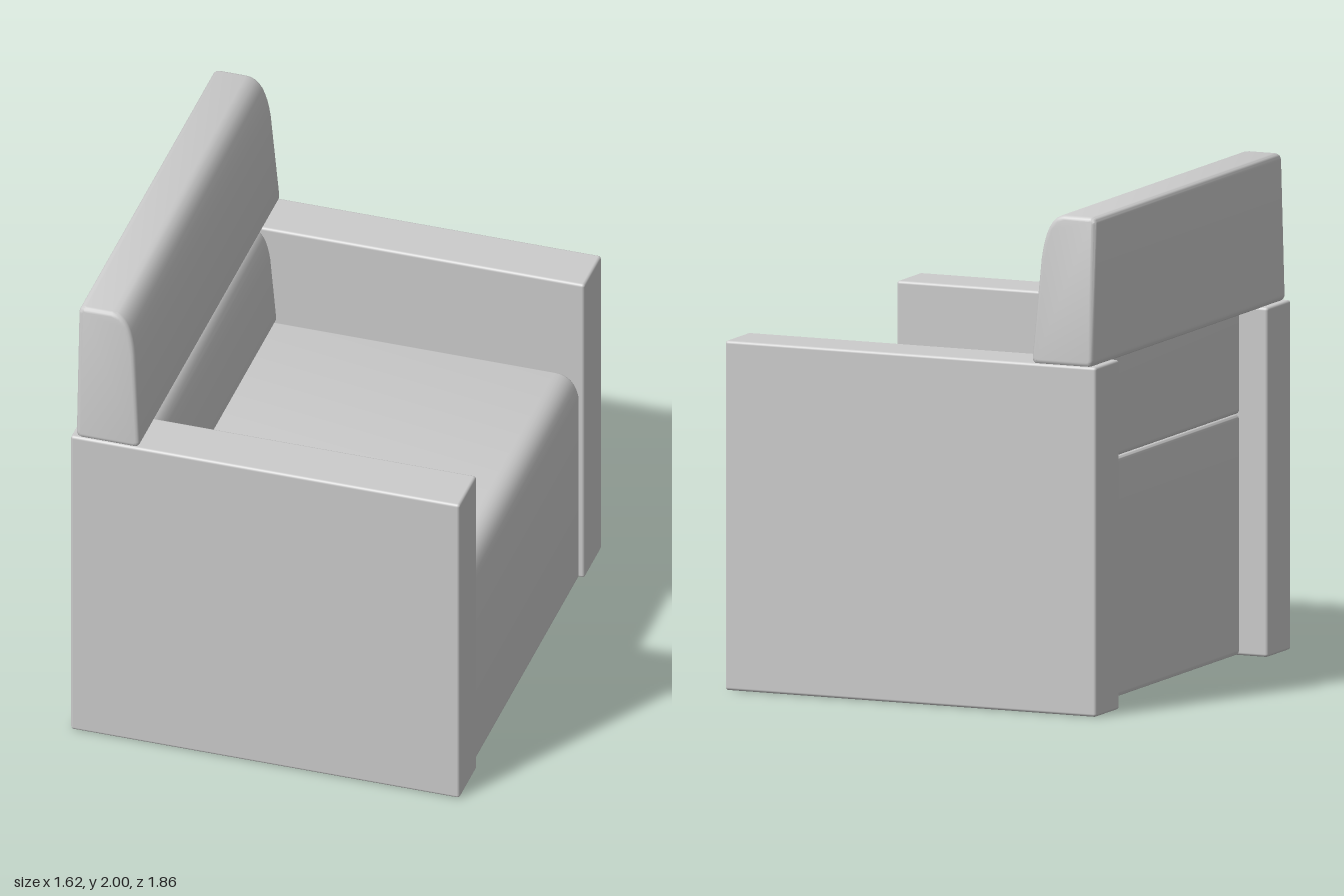
import * as THREE from 'three';
import { toCreasedNormals } from 'three/addons/utils/BufferGeometryUtils.js';
import { RoundedBoxGeometry } from 'three/addons/geometries/RoundedBoxGeometry.js';

const material = new THREE.MeshStandardMaterial({ color: 0xcccccc });

function addPart(group, name, geometry) {
  const mesh = new THREE.Mesh(geometry, material);
  mesh.name = name;
  group.add(mesh);
  return mesh;
}

// Side profile in x/y swept across the chair's width, with softened ends
function sweep(shape, width, bevel) {
  const geometry = new THREE.ExtrudeGeometry(shape, {
    depth: width - 2 * bevel, curveSegments: 8, bevelEnabled: true,
    bevelThickness: bevel, bevelSize: bevel, bevelOffset: -bevel, bevelSegments: 3,
  });
  geometry.translate(0, 0, -width / 2 + bevel);
  return geometry;
}

// Cushion profile: straight rear, sloping front and a generously rounded top front
function cushionShape(x0, x1, y0, y1, r, lean, roundX, roundY) {
  const s = new THREE.Shape();
  s.moveTo(x0 + r, y0);
  s.lineTo(x1 - r, y0);
  s.quadraticCurveTo(x1, y0, x1, y0 + r);
  s.lineTo(x1 - lean, y1 - roundY);
  s.bezierCurveTo(x1 - lean - 0.012, y1 - roundY * 0.4, x1 - lean - roundX * 0.4, y1,
    x1 - lean - roundX, y1);
  s.lineTo(x0 + r, y1);
  s.quadraticCurveTo(x0, y1, x0, y1 - r);
  s.lineTo(x0, y0 + r);
  s.quadraticCurveTo(x0, y0, x0 + r, y0);
  return s;
}

export function createModel() {
  const group = new THREE.Group();
  group.name = 'armchair';

  // Slab arms that reach the floor
  for (const side of [-1, 1]) {
    const arm = addPart(group, side > 0 ? 'armNear' : 'armFar',
      new RoundedBoxGeometry(1.62, 1.405, 0.225, 3, 0.012));
    arm.position.set(0, 0.7025, side * 0.817);
  }

  // Solid seat block with a rounded front edge
  const seat = cushionShape(-0.69, 0.79, 0.003, 0.97, 0.02, 0, 0.1, 0.1);
  addPart(group, 'seat', toCreasedNormals(sweep(seat, 1.41, 0.015), 0.7));

  // Lower back cushion between the arms
  const back = cushionShape(-0.69, -0.47, 0.972, 1.4, 0.02, 0.025, 0.08, 0.13);
  addPart(group, 'backCushion', toCreasedNormals(sweep(back, 1.41, 0.012), 0.7));

  // Headrest across both arms, narrowing toward the top
  const rest = sweep(cushionShape(-0.79, -0.525, 1.4, 2, 0.03, 0.028, 0.1, 0.18), 1.85, 0.018);
  const p = rest.attributes.position;
  for (let i = 0; i < p.count; i++) {
    p.setZ(i, p.getZ(i) * (1 - 0.04 * (p.getY(i) - 1.4) / 0.6));
  }
  addPart(group, 'headrest', toCreasedNormals(rest, 0.7));

  return group;
}
